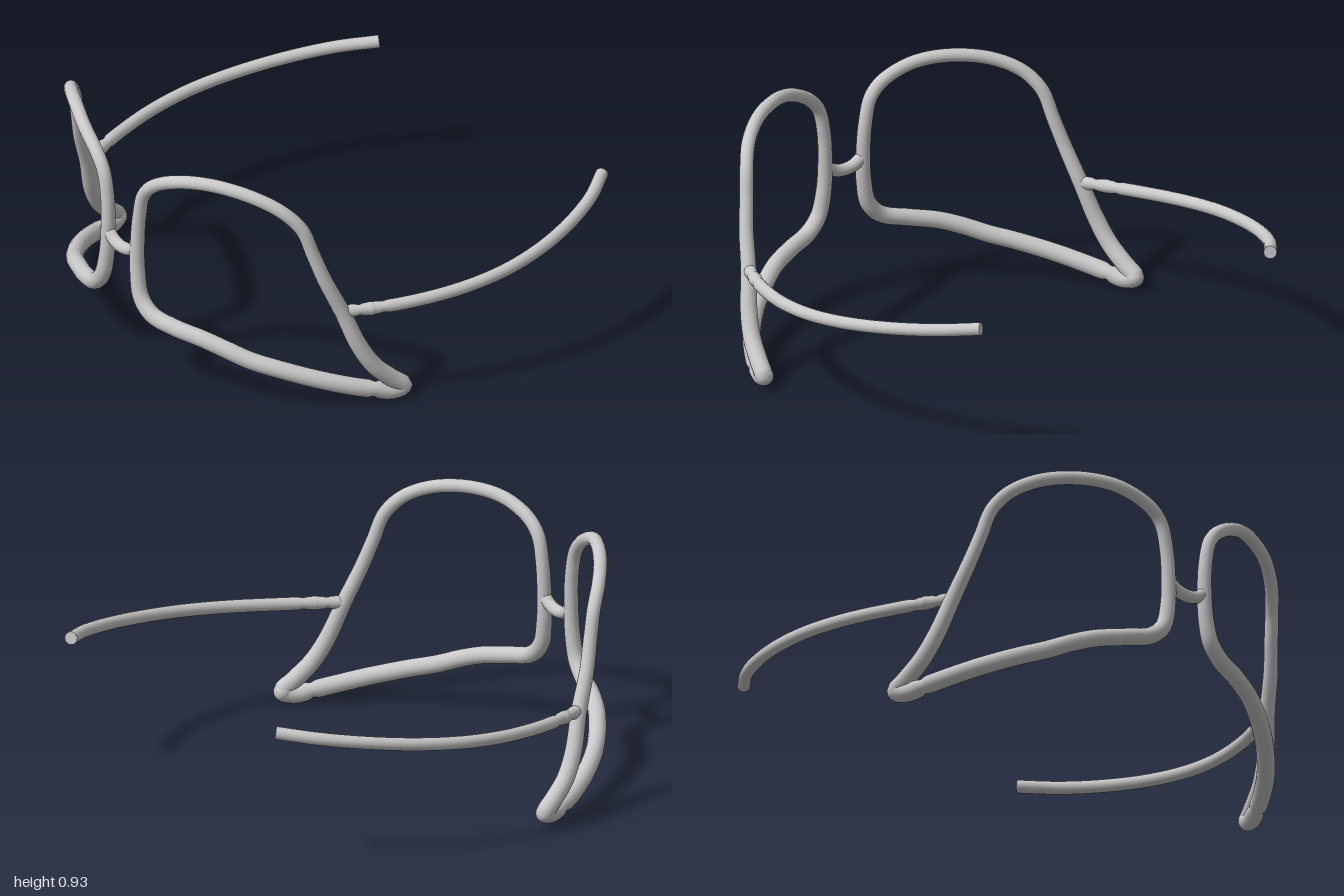
import * as THREE from 'three';

const grey = new THREE.MeshStandardMaterial({ color: 0xc8c8c8 });
grey.name = 'grey wire';

// Rim of one eye, followed round from the bridge over the brow
const rimPoints = [
  [0.092, 0.55, 0.885], [0.1, 0.67, 0.882], [0.125, 0.77, 0.88], [0.18, 0.83, 0.872],
  [0.3, 0.885, 0.84], [0.43, 0.903, 0.778], [0.57, 0.883, 0.695], [0.665, 0.832, 0.62],
  [0.715, 0.76, 0.565], [0.742, 0.65, 0.53], [0.77, 0.54, 0.495], [0.803, 0.4, 0.437],
  [0.842, 0.25, 0.383], [0.866, 0.16, 0.33], [0.886, 0.095, 0.262], [0.899, 0.052, 0.213],
  [0.88, 0.037, 0.255], [0.852, 0.05, 0.32], [0.812, 0.069, 0.395], [0.735, 0.103, 0.507],
  [0.63, 0.142, 0.622], [0.55, 0.168, 0.692], [0.47, 0.202, 0.75], [0.39, 0.229, 0.798],
  [0.28, 0.25, 0.85], [0.18, 0.275, 0.882], [0.122, 0.33, 0.89], [0.097, 0.43, 0.888],
];

// Side arm, curving round the head and rising to the back
const armPoints = [
  [0.808, 0.4, 0.42], [0.85, 0.402, 0.33], [0.902, 0.407, 0.2], [0.955, 0.42, 0],
  [0.971, 0.437, -0.2], [0.946, 0.458, -0.4], [0.885, 0.484, -0.6],
  [0.799, 0.51, -0.775], [0.7, 0.532, -0.908],
];

const bridgePoints = [
  [-0.09, 0.535, 0.885], [-0.05, 0.507, 0.887], [0, 0.497, 0.888],
  [0.05, 0.507, 0.887], [0.09, 0.535, 0.885],
];

function curveOf(points, side = 1, closed = false) {
  return new THREE.CatmullRomCurve3(
    points.map(([x, y, z]) => new THREE.Vector3(x * side, y, z)), closed);
}

// Narrow groove round a wire at a given z
const groove = (z, at, depth) => depth * Math.exp(-(((z - at) / 0.012) ** 2));

// Round wire whose radius varies with position
function wire(name, curve, segments, closed, radiusAt) {
  const r = 0.02;
  const geo = new THREE.TubeGeometry(curve, segments, r, 16, closed);
  const pos = geo.attributes.position, nor = geo.attributes.normal;
  const n = new THREE.Vector3(), c = new THREE.Vector3();
  for (let i = 0; i < pos.count; i++) {
    n.fromBufferAttribute(nor, i);
    c.fromBufferAttribute(pos, i).addScaledVector(n, -r);
    c.addScaledVector(n, radiusAt(c));
    pos.setXYZ(i, c.x, c.y, c.z);
  }
  const mesh = new THREE.Mesh(geo, grey);
  mesh.name = name;
  return mesh;
}

// Thicker towards the drooping lower corner, with a joint in the lower bar
function rimRadius(p) {
  const base = THREE.MathUtils.lerp(0.036, 0.027, THREE.MathUtils.smoothstep(p.y, 0.03, 0.75));
  return p.y < 0.08 ? base - groove(p.z, 0.32, 0.007) : base;
}

export function createModel() {
  const model = new THREE.Group();
  model.name = 'glasses frame';

  for (const [label, side] of [['left', 1], ['right', -1]]) {
    model.add(wire(label + 'Rim', curveOf(rimPoints, side, true), 320, true, rimRadius));

    // Rounded lower corner of the rim
    const corner = new THREE.Mesh(new THREE.SphereGeometry(0.037, 16, 12), grey);
    corner.name = label + 'RimCorner';
    corner.position.set(0.896 * side, 0.05, 0.215);
    model.add(corner);

    // Arm with slight grooves either side of the hinge
    const armCurve = curveOf(armPoints, side);
    model.add(wire(label + 'Arm', armCurve, 160, false,
      (p) => 0.0255 - groove(p.z, 0.375, 0.005) - groove(p.z, 0.29, 0.004)));

    // Flat cap on the free end of the arm
    const cap = new THREE.Mesh(new THREE.CircleGeometry(0.0255, 16), grey);
    cap.name = label + 'ArmEnd';
    cap.position.copy(armCurve.getPointAt(1));
    cap.quaternion.setFromUnitVectors(new THREE.Vector3(0, 0, 1), armCurve.getTangentAt(1));
    model.add(cap);

    // Hinge knuckle
    const hinge = new THREE.Mesh(new THREE.SphereGeometry(0.027, 16, 12), grey);
    hinge.name = label + 'Hinge';
    hinge.scale.set(1, 1, 1.4);
    hinge.position.set(0.85 * side, 0.402, 0.332);
    hinge.rotation.y = -0.4 * side;
    model.add(hinge);
  }

  // Nose bridge
  model.add(wire('bridge', curveOf(bridgePoints), 24, false, () => 0.025));
  return model;
}
